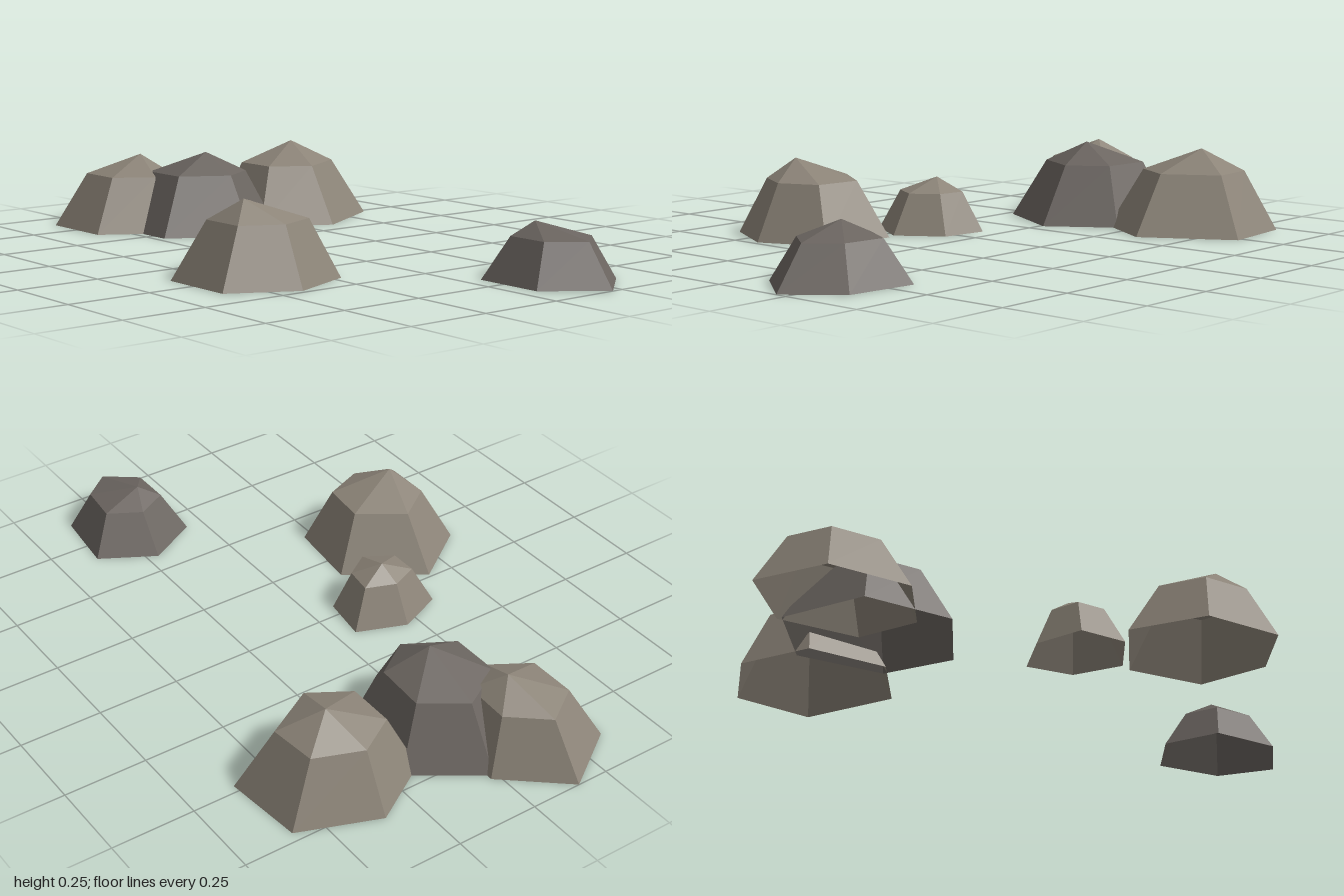
import * as THREE from 'three';

// A boulder is a skewed hexagon, narrowed at the shoulder and fanned up to an off-centre peak.
// right: reach at the back corner, reach at the front corner, slide in z; left: reach, slide in z
const boulders = {
  backLeftBoulder: { tone: 'light', centre: [-0.155, -0.755], depth: 0.245, right: [0.18, 0.17, 0.03],
    left: [0.19, 0.005], shoulder: 0.165, lean: [0.015, 0], peak: [-0.11, 0.225, -0.735] },
  backRightBoulder: { tone: 'light', centre: [0.35, -0.568], depth: 0.243, right: [0.235, 0.26, -0.03],
    left: [0.197, 0], shoulder: 0.178, lean: [0.005, -0.015], peak: [0.393, 0.245, -0.595] },
  backMiddleBoulder: { tone: 'dark', centre: [0.01, -0.572], depth: 0.268, right: [0.205, 0.19, 0.007],
    left: [0.235, 0], shoulder: 0.178, lean: [0, 0], peak: [0, 0.242, -0.53] },
  smallMiddleBoulder: { tone: 'light', centre: [-0.21, -0.015], depth: 0.145, right: [0.15, 0.13, -0.015],
    left: [0.14, -0.012], shoulder: 0.12, lean: [0.005, -0.005], peak: [-0.195, 0.162, -0.045] },
  leftBoulder: { tone: 'light', centre: [-0.42, 0.247], depth: 0.237, right: [0.225, 0.2, 0.035],
    left: [0.19, 0.018], shoulder: 0.167, lean: [0.005, 0.015], peak: [-0.465, 0.228, 0.285] },
  frontBoulder: { tone: 'dark', centre: [0.215, 0.787], depth: 0.212, right: [0.165, 0.142, -0.012],
    left: [0.16, -0.017], shoulder: 0.12, lean: [0, -0.003], peak: [0.185, 0.16, 0.738] },
};

// Hexagon corners, starting at the back and passing the right, front and left
function outline({ centre, depth, right, left }, y, scale, [leanX, leanZ]) {
  const half = depth / 2;
  const corners = [
    [0, -depth], [right[0], right[2] - half], [right[1], right[2] + half],
    [0, depth], [-left[0], left[1] + half], [-left[0], left[1] - half],
  ];
  return corners.map(([x, z]) => [centre[0] + x * scale + leanX, y, centre[1] + z * scale + leanZ]);
}

// Open-bottomed faceted dome: sloping sides, then a fan up to the peak
function domeGeometry(boulder) {
  const foot = outline(boulder, 0, 1, [0, 0]);
  const top = outline(boulder, boulder.shoulder, 0.6, boulder.lean);
  const positions = [];
  foot.forEach((corner, i) => {
    const j = (i + 1) % foot.length;
    positions.push(...foot[j], ...corner, ...top[i]);
    positions.push(...foot[j], ...top[i], ...top[j]);
    positions.push(...top[j], ...top[i], ...boulder.peak);
  });
  const geometry = new THREE.BufferGeometry();
  geometry.setAttribute('position', new THREE.Float32BufferAttribute(positions, 3));
  geometry.computeVertexNormals();
  return geometry;
}

function stone(name, color) {
  const material = new THREE.MeshStandardMaterial({ color, flatShading: true, side: THREE.DoubleSide });
  material.name = name;
  return material;
}

export function createModel() {
  const group = new THREE.Group();
  group.name = 'boulders';
  const materials = {
    light: stone('lightStone', 0x8c8478),
    dark: stone('darkStone', 0x6b6560),
  };
  for (const [name, boulder] of Object.entries(boulders)) {
    const mesh = new THREE.Mesh(domeGeometry(boulder), materials[boulder.tone]);
    mesh.name = name;
    group.add(mesh);
  }
  return group;
}
